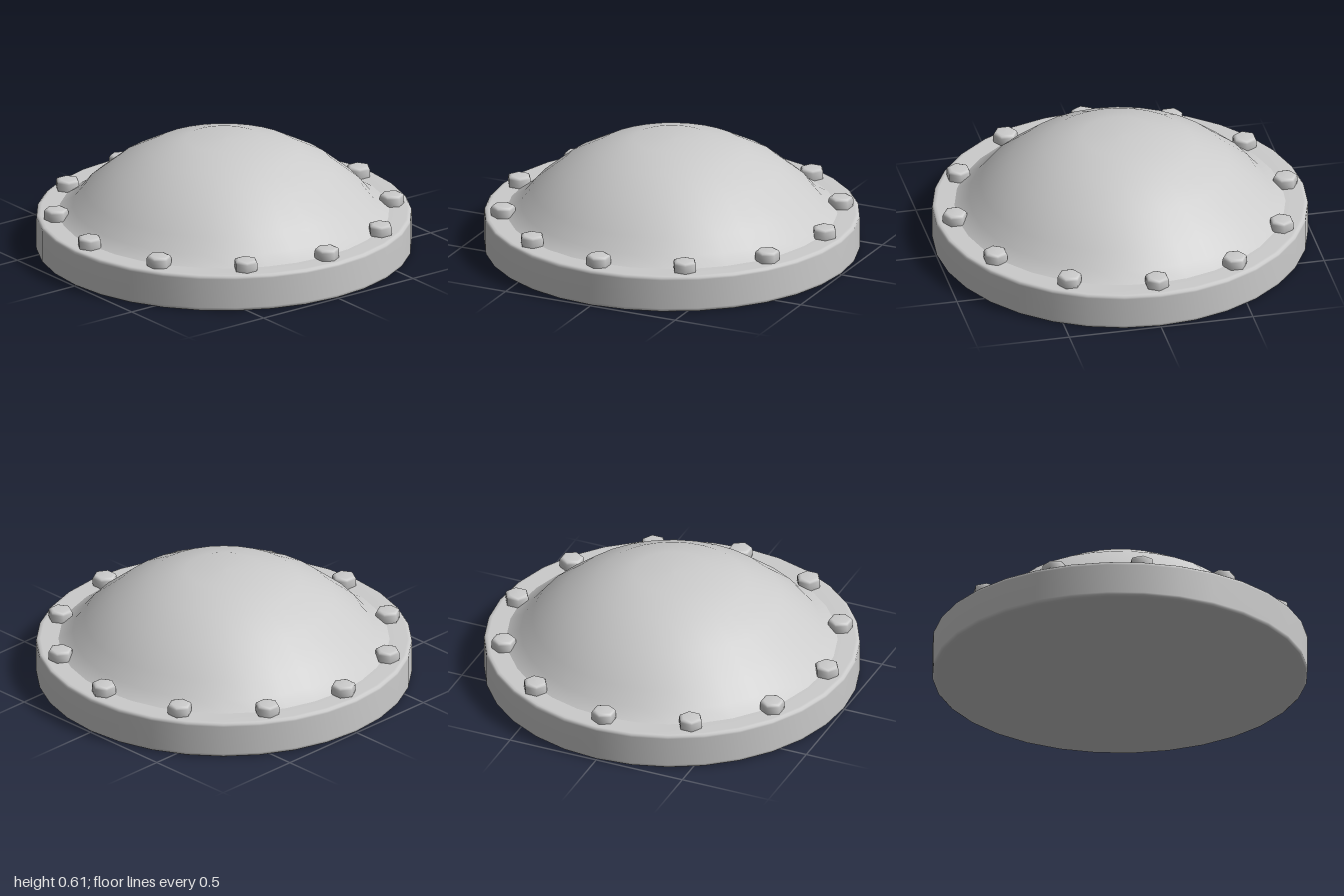
import * as THREE from 'three';

const material = new THREE.MeshStandardMaterial({ color: 0xcccccc });

// Surface of revolution; profile runs from the bottom axis up to the top axis
function lathe(name, profile, segments) {
  const points = profile.map(([r, y]) => new THREE.Vector2(r, y));
  const mesh = new THREE.Mesh(new THREE.LatheGeometry(points, segments), material);
  mesh.name = name;
  return mesh;
}

export function createModel() {
  const group = new THREE.Group();
  group.name = 'boltedDomeCover';

  // Round flange with slightly softened edges
  group.add(lathe('flange', [
    [0, 0], [0.975, 0], [0.99, 0.001], [0.999, 0.008], [1, 0.02],
    [1, 0.18], [0.999, 0.191], [0.99, 0.199], [0.975, 0.2], [0.86, 0.2],
  ], 32));

  // Shallow spherical dome with a small flat crown, flaring into the flange
  const dome = [[0.88, 0.2], [0.805, 0.245]];
  const radius = 1.05, centreY = -0.42;
  for (let i = 4; i >= 1; i--) {
    const a = i * Math.PI / 16;
    dome.push([radius * Math.sin(a), centreY + radius * Math.cos(a)]);
  }
  dome.push([0, 0.613]);
  group.add(lathe('dome', dome, 32));

  // Ring of twelve hexagonal bolt heads, each with a corner pointing outward
  const bolts = new THREE.Group();
  bolts.name = 'bolts';
  for (let i = 0; i < 12; i++) {
    const a = i * Math.PI / 6;
    const bolt = lathe('bolt', [
      [0.064, 0], [0.066, 0.012], [0.066, 0.044], [0.06, 0.055], [0.045, 0.06], [0, 0.061],
    ], 6);
    bolt.position.set(0.9 * Math.sin(a), 0.199, 0.9 * Math.cos(a));
    bolt.rotation.y = a;
    bolts.add(bolt);
  }
  group.add(bolts);

  return group;
}
